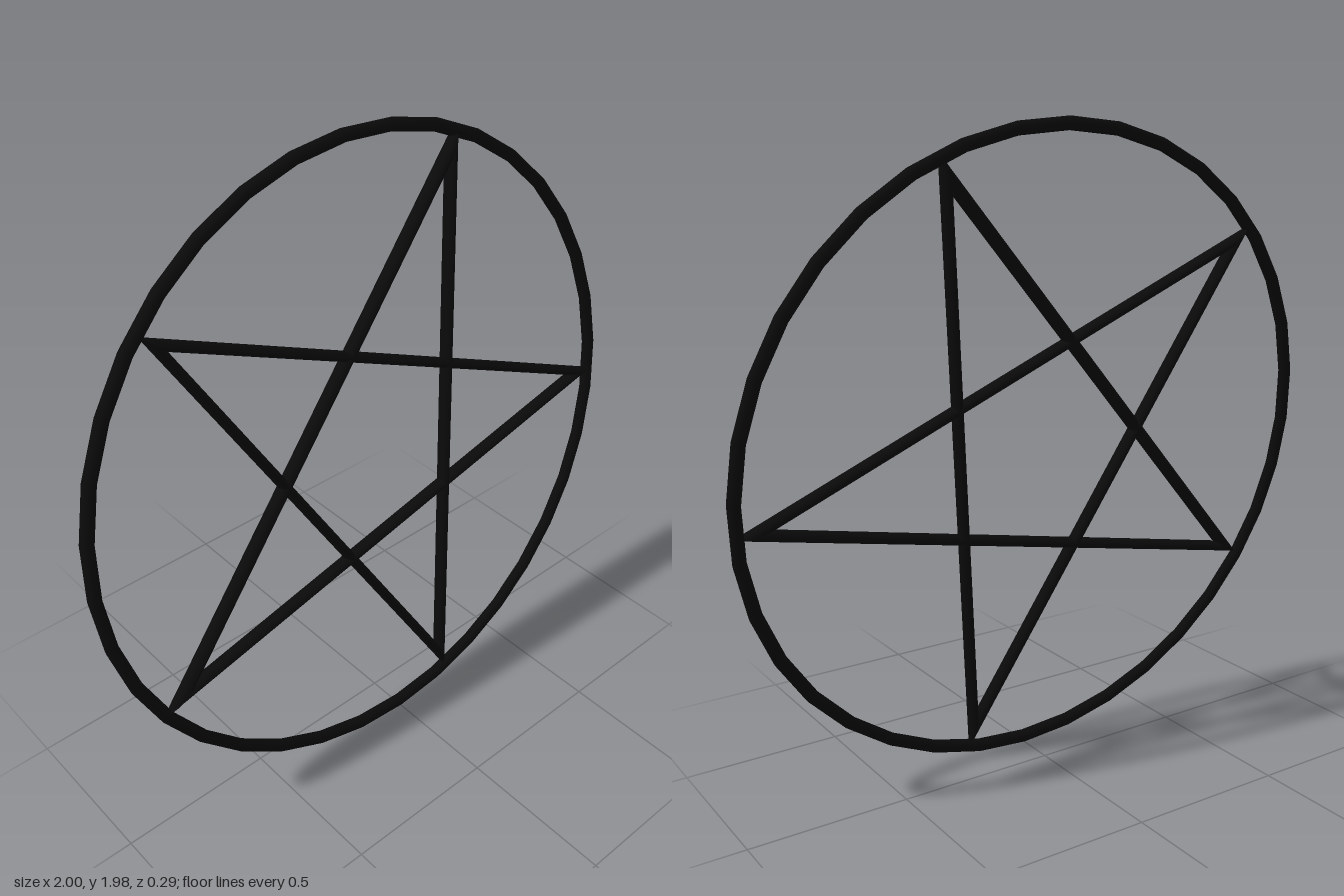
import * as THREE from 'three';

const RING_R = 0.98, TUBE_R = 0.02, TILT = THREE.MathUtils.degToRad(7.3);
const STAR_R = 0.92, STEP = (Math.PI * 2) / 5, TIP = Math.PI / 10; // half angle of a star tip

// Straight star bar with an oval section and mitred ends; +x points away from the star's centre
function mitredBar(width, depth) {
  const half = STAR_R * Math.sin(STEP);
  const geo = new THREE.CylinderGeometry(1, 1, half * 2, 12);
  geo.scale(width / 2, 1, depth / 2);
  const p = geo.attributes.position;
  for (let i = 0; i < p.count; i++) {
    p.setY(i, p.getY(i) + (Math.sign(p.getY(i)) * p.getX(i)) / Math.tan(TIP));
  }
  geo.computeVertexNormals();
  return geo.translate(STAR_R * Math.cos(STEP), 0, 0);
}

export function createModel() {
  const model = new THREE.Group();
  model.name = 'starInRing';
  const black = new THREE.MeshStandardMaterial({ color: 0x0a0a0a });

  // Everything lies in one plane that leans back
  const disc = new THREE.Group();
  disc.name = 'leaningDisc';
  disc.position.y = RING_R * Math.cos(TILT) + TUBE_R;
  disc.rotation.x = -TILT;
  model.add(disc);

  // Outer ring
  const ring = new THREE.Mesh(new THREE.TorusGeometry(RING_R, TUBE_R, 10, 36), black);
  ring.name = 'ring';
  disc.add(ring);

  // Five crossing bars form the star; one is slightly heavier
  const star = new THREE.Group();
  star.name = 'star';
  star.position.set(0.01, 0.008, 0);
  disc.add(star);
  for (let i = 0; i < 5; i++) {
    const bar = new THREE.Mesh(mitredBar(i === 2 ? 0.04 : 0.032, 0.046), black);
    bar.name = 'starBar' + (i + 1);
    bar.rotation.z = THREE.MathUtils.degToRad(-6.3) + i * STEP;
    star.add(bar);
  }
  return model;
}
